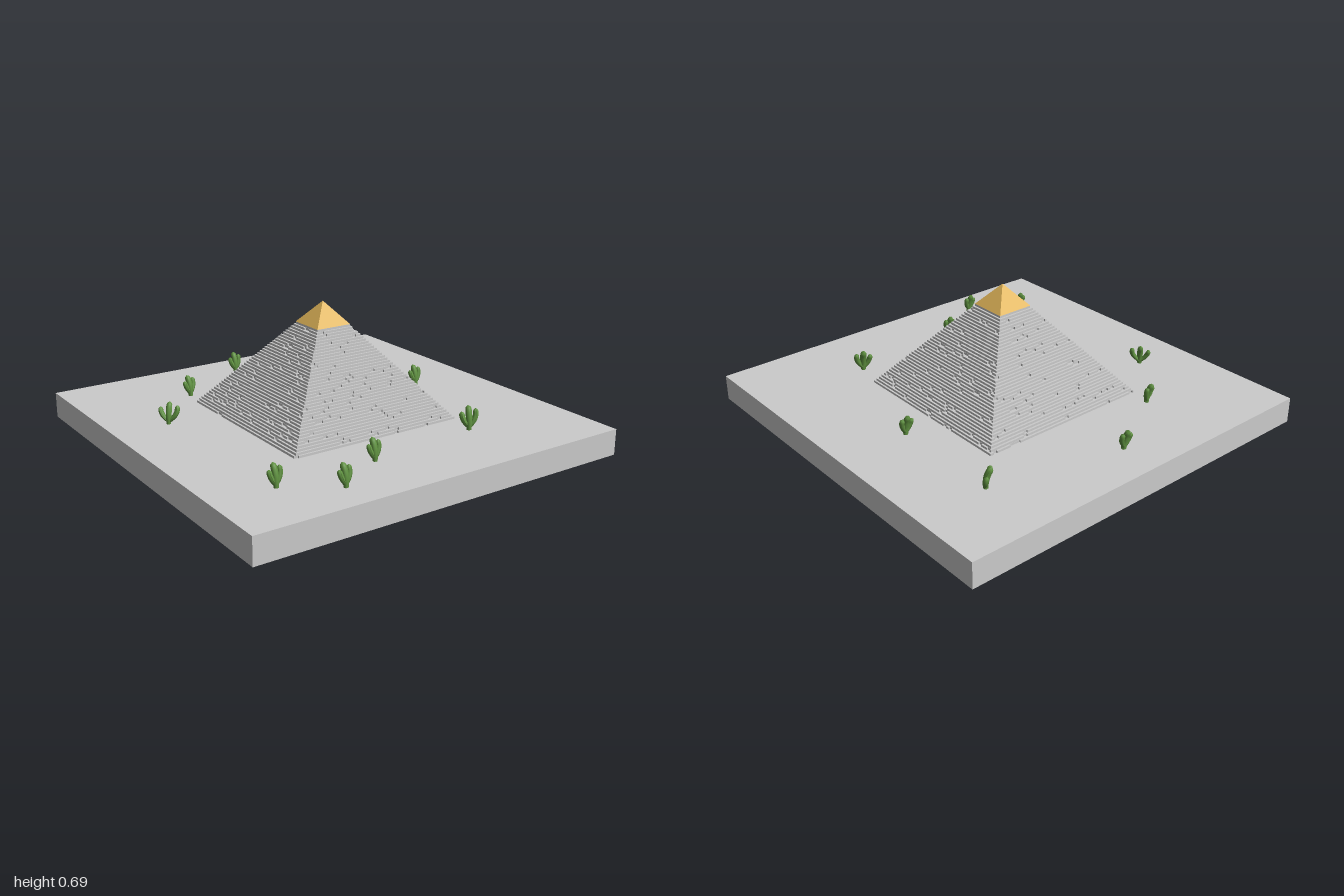
import * as THREE from 'three';
import { mergeGeometries } from 'three/addons/utils/BufferGeometryUtils.js';

const grey = new THREE.MeshStandardMaterial({ color: 0xcccccc, flatShading: true });
const gold = new THREE.MeshStandardMaterial({ color: 0xe0b458, flatShading: true });
const green = new THREE.MeshStandardMaterial({ color: 0x5f9140 });

const GROUND = 0.13, CAP_Y = 0.58, BASE = 0.46, TOP = 0.094;

function seeded(seed) {
  return () => (seed = (seed * 16807) % 2147483647) / 2147483647;
}

function named(name, geometry, material) {
  const mesh = new THREE.Mesh(geometry, material);
  mesh.name = name;
  return mesh;
}

// Fine courses of small stones around a solid core, a few stones missing
function stoneCourses() {
  const rand = seeded(41), parts = [], rows = 40;
  const h = (CAP_Y - GROUND) / rows, depth = 0.008;
  const addBox = (w, d, x, y, z, turn = 0) => {
    parts.push(new THREE.BoxGeometry(w, h, d).translate(x, y, z).rotateY(turn));
  };
  for (let r = 0; r < rows; r++) {
    const half = THREE.MathUtils.lerp(BASE, TOP, r / (rows - 1));
    const y = GROUND + (r + 0.5) * h;
    const core = 2 * (half - depth);
    addBox(core, core, 0, y, 0);
    const span = 2 * half - depth;
    const count = Math.round(span / 0.02), w = span / count;
    for (let side = 0; side < 4; side++) {
      for (let i = 0; i < count; i++) {
        if (rand() < 0.06) continue;
        addBox(w, depth, -half + (i + 0.5) * w, y, half - depth / 2, side * Math.PI / 2);
      }
    }
  }
  return mergeGeometries(parts);
}

// Ribbed stem with a rounded tip, swept along a few points
function stem(points, radius) {
  const path = new THREE.CatmullRomCurve3(points.map(p => new THREE.Vector3(...p)));
  const n = 14, sides = 16;
  const g = new THREE.TubeGeometry(path, n, radius, sides);
  const pos = g.attributes.position, v = new THREE.Vector3();
  for (let i = 0; i <= n; i++) {
    const t = i / n, c = path.getPointAt(t);
    const tip = t > 0.8 ? Math.sqrt(Math.max(0, 1 - ((t - 0.8) / 0.2) ** 2)) : 1;
    const swell = Math.min(1, 0.75 + t * 0.5);
    for (let j = 0; j <= sides; j++) {
      const k = i * (sides + 1) + j;
      v.fromBufferAttribute(pos, k).sub(c).multiplyScalar(tip * swell * (j % 2 ? 0.8 : 1)).add(c);
      pos.setXYZ(k, v.x, v.y, v.z);
    }
  }
  g.computeVertexNormals();
  return g;
}

function cactus(spread) {
  const group = new THREE.Group();
  group.name = 'cactus';
  group.add(named('trunk', stem([[0, -0.005, 0.012], [0, 0.035, 0.01], [0, 0.075, 0], [0, 0.105, -0.016]], 0.015), green));
  for (const s of [-1, 1]) {
    const x = s * spread, top = s > 0 ? 0.092 : 0.08;
    group.add(named(s > 0 ? 'leftArm' : 'rightArm',
      stem([[0, 0.012, 0.01], [x * 0.6, 0.035, 0.008], [x * 0.95, 0.06, 0.003], [x, top, -0.005]], 0.0125), green));
  }
  return group;
}

export function createModel() {
  const model = new THREE.Group();
  model.name = 'desertPyramid';

  model.add(named('ground', new THREE.BoxGeometry(2, GROUND, 2).translate(0, GROUND / 2, 0), grey));
  model.add(named('pyramidStones', stoneCourses(), grey));

  // Golden capstone
  const cap = new THREE.ConeGeometry(0.095 * Math.SQRT2, 0.11, 4).rotateY(Math.PI / 4);
  model.add(named('capstone', cap.translate(0, CAP_Y + 0.055, 0), gold));

  // Cacti: x, z, turn, arm spread, size
  const cacti = [
    [-0.04, -0.81, 0, 0.026, 1],
    [-0.44, -0.58, 0.25, 0.026, 1],
    [0.63, -0.65, 0.72, 0.054, 1],
    [-0.71, -0.265, -0.8, 0.042, 1],
    [0.635, -0.07, 0, 0.026, 1],
    [-0.69, 0.66, 0, 0.026, 1],
    [-0.18, 0.66, 0, 0.026, 1],
    [-0.45, 0.82, 0.1, 0.026, 1],
    [0.425, 0.6, -0.4, 0.032, 1.08],
  ];
  for (const [x, z, turn, spread, size] of cacti) {
    const plant = cactus(spread);
    plant.position.set(x, GROUND, z);
    plant.rotation.y = turn;
    plant.scale.setScalar(size);
    model.add(plant);
  }
  return model;
}
